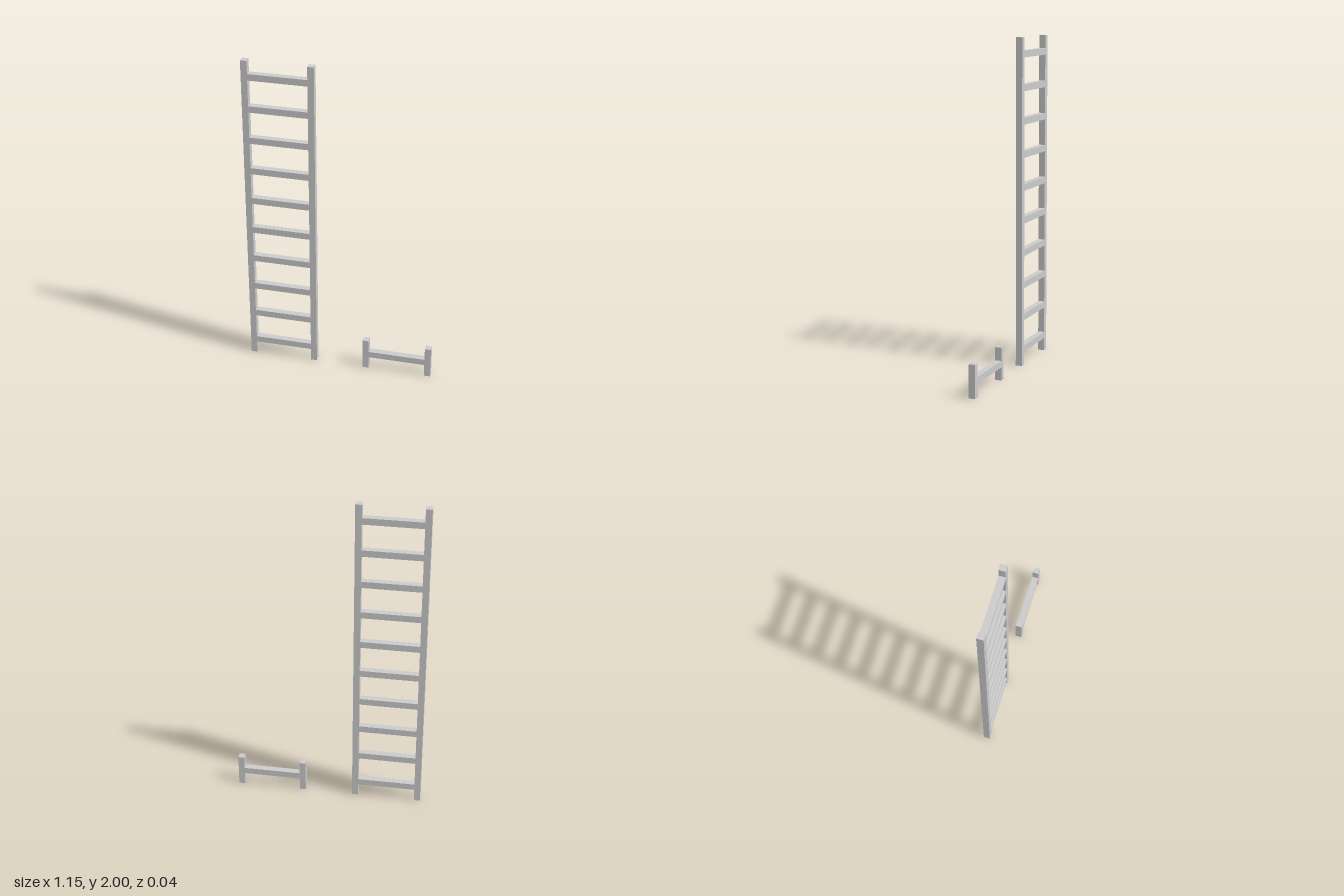
import * as THREE from 'three';

const PITCH = 0.2;        // height of one ladder segment
const DEPTH = 0.04;
const RAIL_WIDTH = 0.038;
const RUNG_HEIGHT = 0.04;
const WIDTH = 0.428;      // overall ladder width

const material = new THREE.MeshStandardMaterial({ color: 0xcccccc, flatShading: true });

function addBox(parent, name, w, h, x, y) {
  const mesh = new THREE.Mesh(new THREE.BoxGeometry(w, h, DEPTH), material);
  mesh.name = name;
  mesh.position.set(x, y, 0);
  parent.add(mesh);
}

// A ladder made of two continuous rails and one rung per segment
function makeLadder(name, segments) {
  const ladder = new THREE.Group();
  ladder.name = name;
  const height = segments * PITCH;
  const railX = (WIDTH - RAIL_WIDTH) / 2;

  addBox(ladder, 'leftRail', RAIL_WIDTH, height, railX, height / 2);
  addBox(ladder, 'rightRail', RAIL_WIDTH, height, -railX, height / 2);

  // Rungs fit between the rails, flush front and back
  for (let i = 0; i < segments; i++) {
    addBox(ladder, `rung${i + 1}`, WIDTH - 2 * RAIL_WIDTH, RUNG_HEIGHT, 0, (i + 0.5) * PITCH);
  }
  return ladder;
}

export function createModel() {
  const model = new THREE.Group();
  model.name = 'ladderSet';

  // Full ladder on the right, single segment on the left
  const tall = makeLadder('tallLadder', 10);
  tall.position.x = -0.361;
  const single = makeLadder('ladderSegment', 1);
  single.position.x = 0.361;

  model.add(tall, single);
  return model;
}
